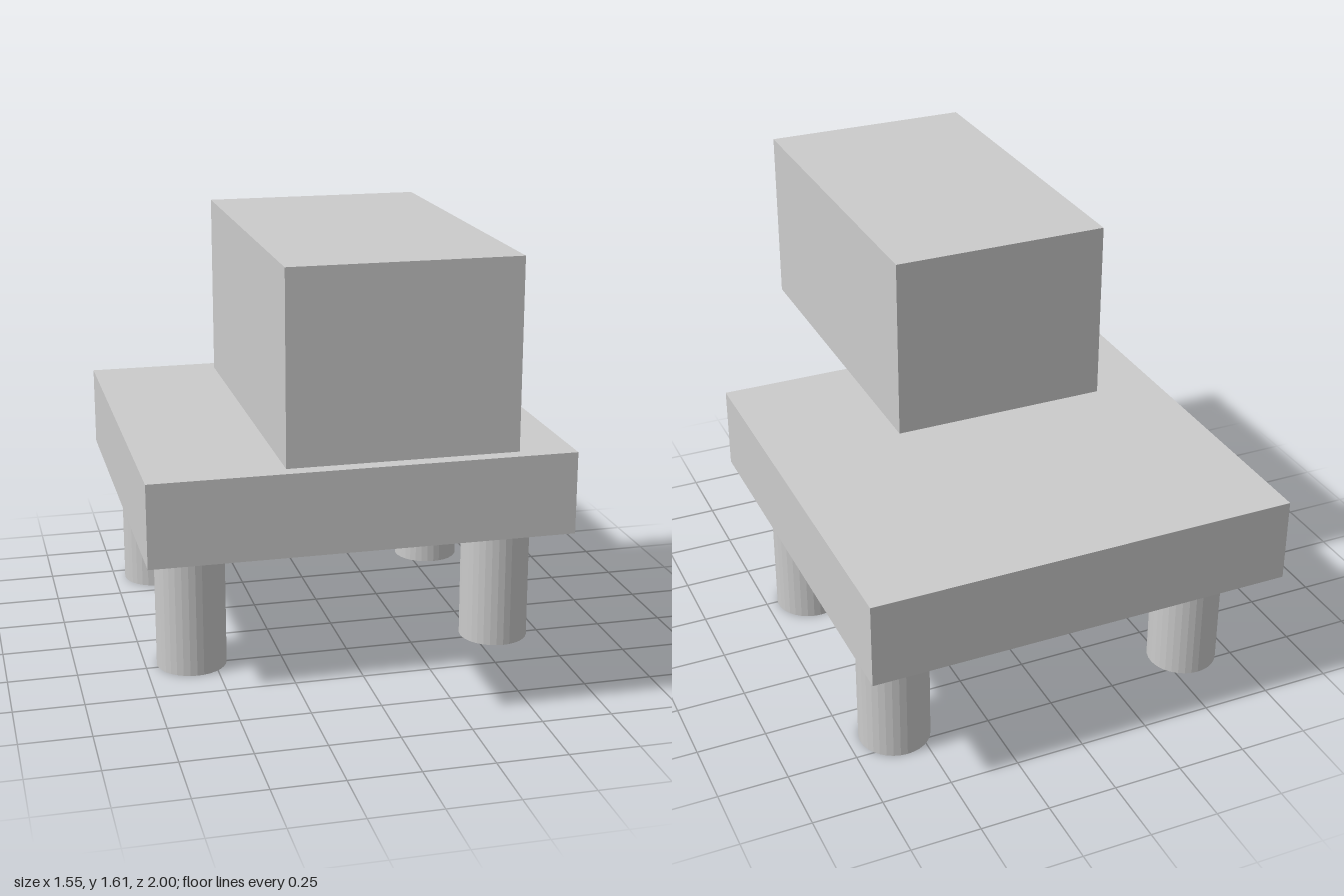
import * as THREE from 'three';

export function createModel() {
  const model = new THREE.Group();
  const grey = new THREE.MeshStandardMaterial({ color: 0xcccccc, flatShading: true });

  const add = (name, geometry, x, y, z) => {
    const mesh = new THREE.Mesh(geometry, grey);
    mesh.name = name;
    mesh.position.set(x, y, z);
    model.add(mesh);
  };

  // Flat slab body
  add('body', new THREE.BoxGeometry(1.546, 0.306, 1.546), 0, 0.649, -0.227);

  // Head block floating above the front edge of the body
  add('head', new THREE.BoxGeometry(0.773, 0.643, 1.29), 0, 1.293, 0.355);

  // Four round legs
  const leg = new THREE.CylinderGeometry(0.128, 0.128, 0.496, 32);
  for (const [side, x] of [['left', 0.58], ['right', -0.58]]) {
    add(side + 'FrontLeg', leg, x, 0.248, 0.228);
    add(side + 'BackLeg', leg, x, 0.248, -0.675);
  }

  return model;
}
